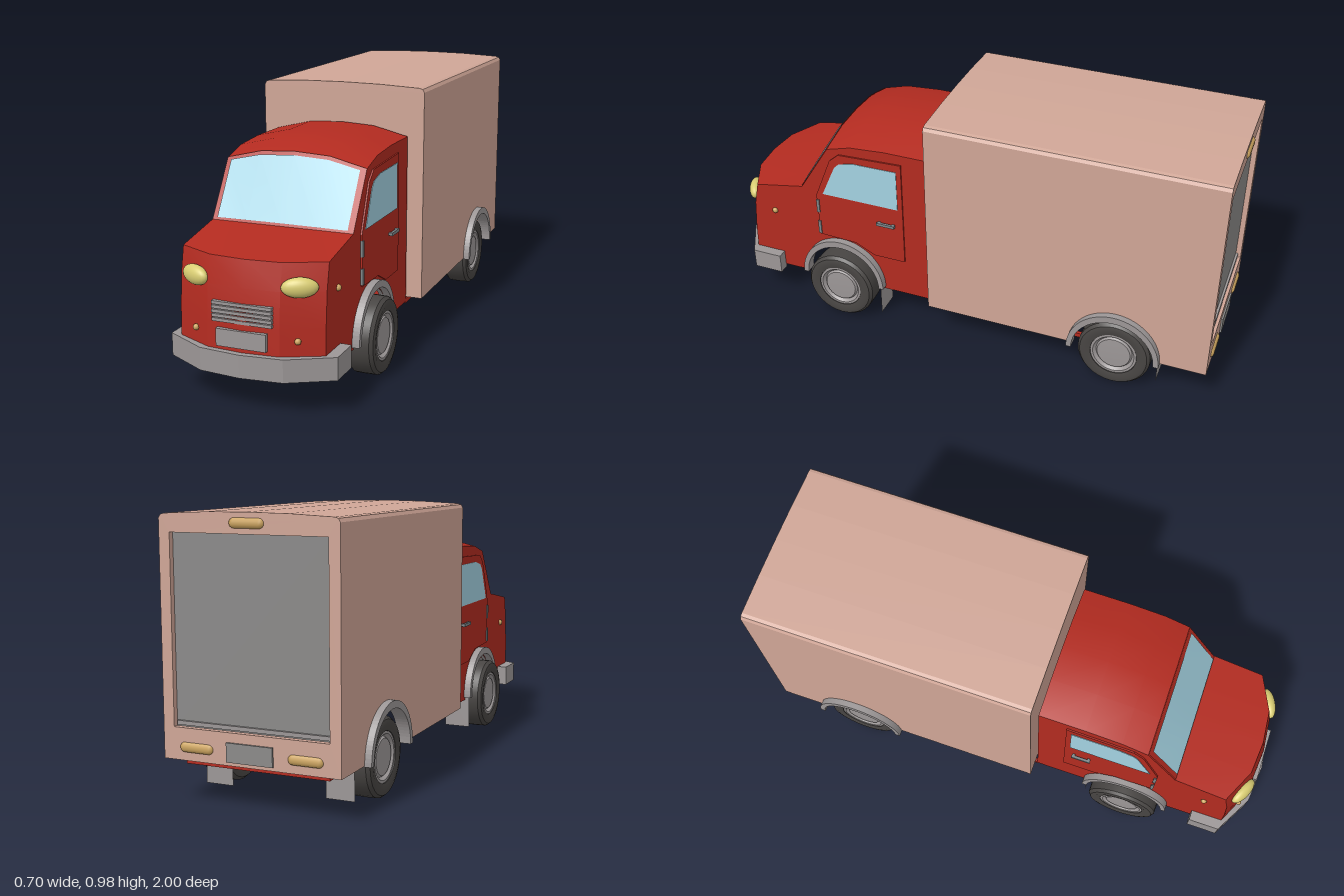
import * as THREE from 'three';
import { toCreasedNormals } from 'three/addons/utils/BufferGeometryUtils.js';

const mat = (name, color, side = THREE.FrontSide) => {
  const m = new THREE.MeshStandardMaterial({ color, side });
  m.name = name;
  return m;
};

export function createModel() {
  const truck = new THREE.Group();
  truck.name = 'boxTruck';
  const red = mat('cabRed', 0xb32b20, THREE.DoubleSide);
  const pink = mat('cargoPink', 0xd0a697, THREE.DoubleSide);
  const grey = mat('trimGrey', 0x9c9797, THREE.DoubleSide);
  const doorGrey = mat('shutterGrey', 0x8b8a89);
  const glass = mat('glassBlue', 0xa4d3e2, THREE.DoubleSide);
  const rubber = mat('tyreBlack', 0x484543, THREE.DoubleSide);
  const yellow = mat('headlightYellow', 0xd9cd73);
  const amber = mat('lampAmber', 0xcba35e);
  const steel = mat('handleSteel', 0x7d8588);

  const add = (name, geo, material, x = 0, y = 0, z = 0) => {
    const m = new THREE.Mesh(geo, material);
    m.name = name;
    m.position.set(x, y, z);
    truck.add(m);
    return m;
  };
  const box = (name, material, w, h, d, x, y, z) =>
    add(name, new THREE.BoxGeometry(w, h, d), material, x, y, z);
  const poly = (pts) => new THREE.Shape(pts.map((p) => new THREE.Vector2(p[0], p[1])));
  const extrude = (shape, depth) =>
    new THREE.ExtrudeGeometry(shape, { depth, bevelEnabled: false, curveSegments: 20 });
  // shapes drawn in (z, y) and centred on a plane of constant x
  const sidePlate = (name, shape, depth, material, x) => {
    const g = depth ? extrude(shape, depth).translate(0, 0, -depth / 2) : new THREE.ShapeGeometry(shape, 20);
    return add(name, g.rotateY(-Math.PI / 2), material, x);
  };
  // surface through rows of points, one row per section
  const loft = (rows, crease = 0.35) => {
    const pos = [];
    for (let i = 0; i + 1 < rows.length; i++)
      for (let j = 0; j + 1 < rows[i].length; j++) {
        const [a, b, c, d] = [rows[i][j], rows[i + 1][j], rows[i + 1][j + 1], rows[i][j + 1]];
        for (const p of [a, b, c, a, c, d]) pos.push(...p);
      }
    const g = new THREE.BufferGeometry();
    g.setAttribute('position', new THREE.Float32BufferAttribute(pos, 3));
    g.computeVertexNormals();
    return toCreasedNormals(g, crease);
  };

  // cab profile at the sides: z, y, forward bow, roof crown
  const W = 0.265;
  const profile = [
    [0.12, 0.14, 0, 0], [0.12, 0.785, 0, 1], [0.3, 0.785, 0, 1], [0.44, 0.775, 0, 1],
    [0.54, 0.747, 0, 1], [0.665, 0.55, 0, 0], [0.87, 0.512, 0.075, 0], [0.89, 0.42, 0.075, 0],
    [0.9, 0.3, 0.075, 0], [0.905, 0.14, 0.075, 0],
  ];
  const bulge = (x, mid) => {
    const a = Math.abs(x);
    return a > 0.13 ? (mid * (W - a)) / (W - 0.13) : 1 - ((1 - mid) * a) / 0.13;
  };
  const cabPoint = (p, x) => [x, p[1] + 0.04 * p[3] * bulge(x, 0.82), p[0] + p[2] * bulge(x, 0.85)];
  const columns = [-W, -0.13, 0, 0.13, W];
  add('cabShell', loft(profile.map((p) => columns.map((x) => cabPoint(p, x)))), red);

  // windshield and its raised frame
  const windshield = (name, material, half, t0, t1, lift) => {
    const row = (t) => [-half, -0.13, 0, 0.13, half].map((x) => {
      const a = cabPoint(profile[5], x), b = cabPoint(profile[4], x);
      return [x, a[1] + (b[1] - a[1]) * t + lift * 0.55, a[2] + (b[2] - a[2]) * t + lift * 0.83];
    });
    add(name, loft([row(t1), row(t0)]), material);
  };
  windshield('windshieldFrame', red, 0.262, 0, 1, 0.003);
  windshield('windshield', glass, 0.245, 0.03, 0.94, 0.007);

  // cab sides, doors, windows and hardware
  const cabSide = poly(profile);
  cabSide.lineTo(0.665, 0.14);
  cabSide.absarc(0.5, 0.14, 0.165, 0, Math.PI, false);
  const door = poly([[0.23, 0.3], [0.36, 0.3], [0.44, 0.34], [0.595, 0.345], [0.6, 0.53],
    [0.53, 0.7], [0.49, 0.735], [0.23, 0.745]]);
  const pane = poly([[0.25, 0.542], [0.57, 0.542], [0.51, 0.675], [0.49, 0.695], [0.43, 0.71], [0.25, 0.712]]);
  for (const s of [1, -1]) {
    const side = s > 0 ? 'left' : 'right';
    sidePlate(side + 'CabSide', cabSide, 0, red, s * W);
    sidePlate(side + 'Door', door, 0.008, red, s * (W + 0.002));
    sidePlate(side + 'DoorWindow', pane, 0.006, glass, s * (W + 0.005));
    box(side + 'DoorHandle', steel, 0.01, 0.012, 0.075, s * 0.282, 0.465, 0.3);
    for (const z of [0.27, 0.33]) box(side + 'HandlePost', steel, 0.02, 0.01, 0.01, s * 0.272, 0.465, z);
    for (const y of [0.38, 0.48]) box(side + 'DoorHinge', steel, 0.016, 0.058, 0.012, s * 0.267, y, 0.595);
    add(side + 'SideMarker', new THREE.SphereGeometry(0.012, 12, 8), amber, s * 0.265, 0.405, 0.8);
    add(side + 'FrontMarker', new THREE.SphereGeometry(0.011, 12, 8), amber, s * 0.185, 0.257, 0.943);
    const lamp = add(side + 'Headlight', new THREE.SphereGeometry(1, 24, 16), yellow, s * 0.188, 0.435, 0.93);
    lamp.scale.set(0.061, 0.034, 0.026);
    lamp.rotation.y = s * 0.44;
  }

  // nose trim
  for (let i = 0; i < 5; i++) box('grilleSlat', grey, 0.216, 0.011, 0.03, 0, 0.306 + i * 0.0145, 0.961);
  box('frontPlate', grey, 0.18, 0.06, 0.025, 0, 0.25, 0.972);
  const bumper = poly([[-0.305, 0.78], [-0.305, 0.9], [-0.15, 0.985], [0, 1], [0.15, 0.985], [0.305, 0.9],
    [0.305, 0.78], [0.262, 0.78], [0.262, 0.875], [0.14, 0.945], [0, 0.957], [-0.14, 0.945],
    [-0.262, 0.875], [-0.262, 0.78]]);
  add('frontBumper', extrude(bumper, 0.08).rotateX(Math.PI / 2), grey, 0, 0.205, 0);

  // cargo box, open underneath
  const B = 0.325;
  const roofLine = [[B, 0.95], [0.318, 0.962], [0.305, 0.966], [0.15, 0.973], [0, 0.975],
    [-0.15, 0.973], [-0.305, 0.966], [-0.318, 0.962], [-B, 0.95]];
  add('cargoRoof', extrude(poly(roofLine), 1.1), pink, 0, 0, -0.99);
  const endWall = () => poly([[-B, 0.155], [B, 0.155], ...roofLine]);
  add('cargoFrontWall', extrude(endWall(), 0.01), pink, 0, 0, 0.1);
  const rear = endWall();
  rear.holes.push(new THREE.Path([[-0.285, 0.265], [-0.285, 0.905], [0.285, 0.905], [0.285, 0.265]]
    .map((p) => new THREE.Vector2(...p))));
  add('cargoRearFrame', extrude(rear, 0.03), pink, 0, 0, -0.99);
  box('rearShutter', doorGrey, 0.58, 0.65, 0.01, 0, 0.585, -0.965);
  box('shutterSill', grey, 0.56, 0.014, 0.012, 0, 0.278, -0.973);
  const wall = poly([[-0.99, 0.155], [-0.99, 0.95], [0.11, 0.95], [0.11, 0.155]].reverse());
  const cargoSide = new THREE.Shape();
  cargoSide.moveTo(-0.99, 0.155).lineTo(-0.805, 0.155);
  cargoSide.absarc(-0.64, 0.155, 0.165, Math.PI, 0, true);
  wall.getPoints().slice(0, 1).forEach((p) => cargoSide.lineTo(p.x, p.y));
  cargoSide.lineTo(0.11, 0.95).lineTo(-0.99, 0.95);
  for (const s of [1, -1]) sidePlate(s > 0 ? 'leftCargoWall' : 'rightCargoWall', cargoSide, 0, pink, s * B);

  // rear lamps and plate
  const tailLamp = (x, y) => {
    const g = new THREE.CapsuleGeometry(0.018, 0.09, 4, 10).rotateZ(Math.PI / 2).scale(1, 1, 0.7);
    add('rearLamp', g, amber, x, y, -0.9875);
  };
  tailLamp(0, 0.94);
  tailLamp(0.2, 0.2);
  tailLamp(-0.2, 0.2);
  box('rearPlate', doorGrey, 0.17, 0.065, 0.012, 0, 0.2, -0.991);

  // chassis rails
  for (const s of [1, -1]) box('chassisRail', red, 0.014, 0.018, 1.07, s * 0.258, 0.142, -0.415);
  box('chassisRearBar', red, 0.53, 0.018, 0.014, 0, 0.142, -0.943);

  // wheels, fenders and mud flaps
  const v = (pts) => pts.map((p) => new THREE.Vector2(p[0], p[1]));
  const tyre = new THREE.LatheGeometry(v([[0.1, -0.052], [0.128, -0.052], [0.14, -0.038], [0.141, 0],
    [0.14, 0.038], [0.13, 0.05], [0.115, 0.054], [0.09, 0.048], [0.088, 0.03], [0.088, -0.045], [0.1, -0.052]]), 32);
  const tyreGeo = toCreasedNormals(tyre, 0.6).rotateZ(-Math.PI / 2);
  const hubGeo = toCreasedNormals(new THREE.LatheGeometry(v([[0, 0.01], [0.089, 0.01], [0.089, 0.046],
    [0.08, 0.046], [0.07, 0.034], [0.064, 0.042], [0, 0.045]]), 32), 0.5).rotateZ(-Math.PI / 2);
  const fender = new THREE.Shape();
  fender.moveTo(0.178, 0);
  fender.absellipse(0, 0, 0.178, 0.185, 0, Math.PI, false, 0);
  fender.lineTo(-0.16, 0);
  fender.absarc(0, 0, 0.158, Math.PI, 0, true);
  for (const [end, z, fx, fw] of [['front', 0.5, 0.27, 0.045], ['rear', -0.64, 0.325, 0.05]])
    for (const s of [1, -1]) {
      const name = end + (s > 0 ? 'Left' : 'Right');
      const wheel = new THREE.Group();
      wheel.name = name + 'Wheel';
      wheel.position.set(s * 0.273, 0.141, z);
      if (s < 0) wheel.rotation.y = Math.PI;
      const t = new THREE.Mesh(tyreGeo, rubber), h = new THREE.Mesh(hubGeo, grey);
      t.name = 'tyre';
      h.name = 'hub';
      wheel.add(t, h);
      truck.add(wheel);
      sidePlate(name + 'Fender', fender, fw, grey, s * fx).position.set(s * fx, 0.152, z);
      add(name + 'MudFlap', new THREE.PlaneGeometry(0.105, 0.15), grey, s * 0.23, 0.1, z - 0.162);
    }
  return truck;
}
